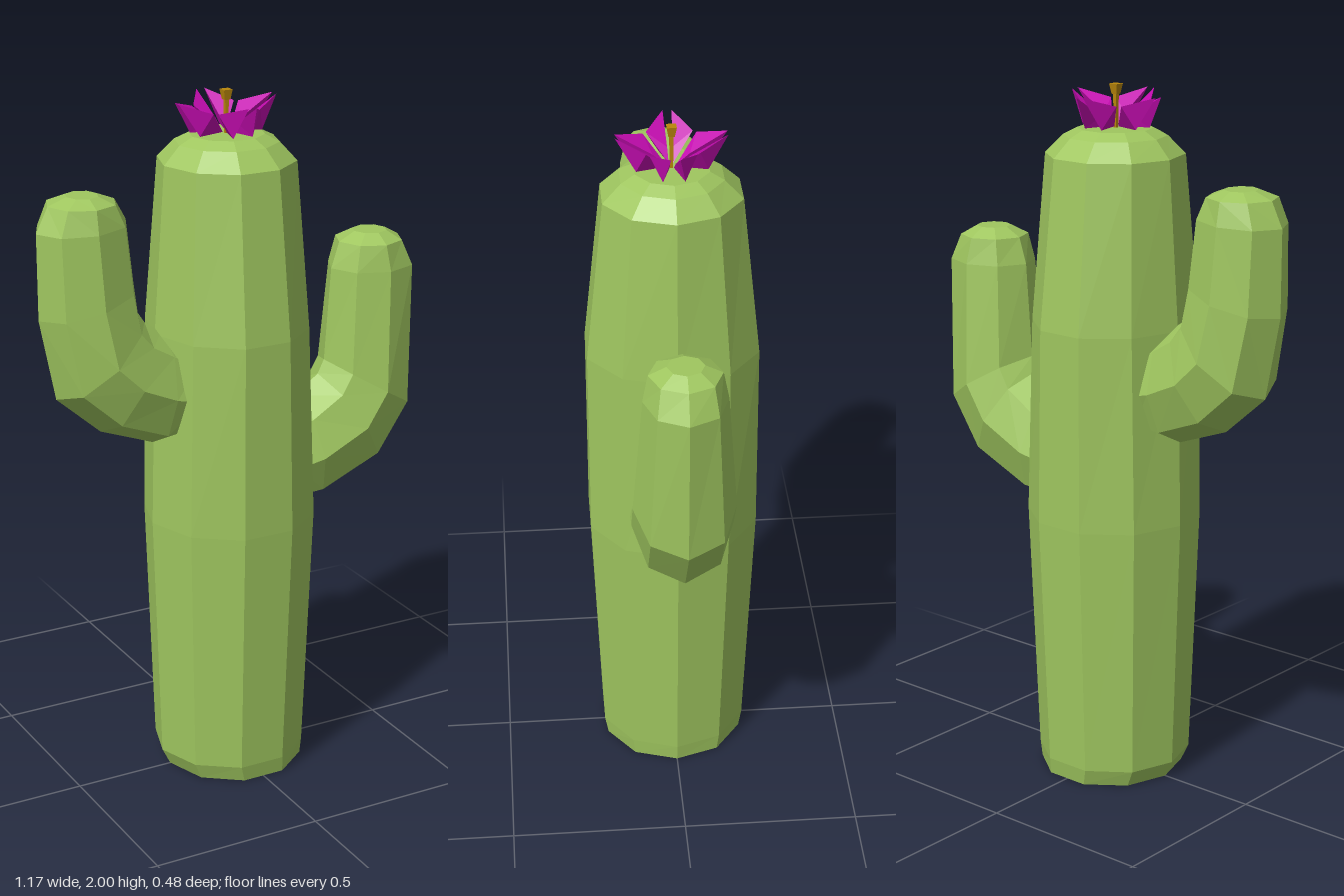
import * as THREE from 'three';

const green = new THREE.MeshStandardMaterial({ color: 0x9fc65f, flatShading: true });
green.name = 'cactusGreen';
const magenta = new THREE.MeshStandardMaterial({ color: 0xc40cb0, flatShading: true, side: THREE.DoubleSide });
magenta.name = 'petalMagenta';
const gold = new THREE.MeshStandardMaterial({ color: 0xb8860b, flatShading: true });
gold.name = 'stamenGold';

// Facets from a list of triangles, each three [x, y, z] points
function facets(tris) {
  const geo = new THREE.BufferGeometry();
  geo.setAttribute('position', new THREE.Float32BufferAttribute(tris.flat(2), 3));
  geo.computeVertexNormals();
  return geo;
}

// Closed skin over a stack of rings, with a flat fan at each end
function skin(rings, flip = false) {
  const tris = [];
  const add = (a, b, c) => tris.push(flip ? [a, c, b] : [a, b, c]);
  const n = rings[0].length;
  const middle = (ring) => [0, 1, 2].map((k) => ring.reduce((s, p) => s + p[k], 0) / n);
  const first = rings[0], last = rings[rings.length - 1];
  const m0 = middle(first), m1 = middle(last);
  for (let i = 0; i < n; i++) {
    const j = (i + 1) % n;
    for (let r = 0; r < rings.length - 1; r++) {
      const lo = rings[r], hi = rings[r + 1];
      add(lo[i], hi[i], lo[j]);
      add(lo[j], hi[i], hi[j]);
    }
    add(first[i], first[j], m0);
    add(last[j], last[i], m1);
  }
  return facets(tris);
}

function mesh(name, geometry, material, parent) {
  const m = new THREE.Mesh(geometry, material);
  m.name = name;
  parent.add(m);
  return m;
}

// Trunk rings: [y, centre x, radius x, radius z], ten sides
function trunkGeometry() {
  const profile = [
    [0, 0, 0.205, 0.21], [0.05, -0.01, 0.22, 0.22], [0.78, -0.008, 0.245, 0.25],
    [1.34, -0.014, 0.225, 0.25], [1.81, -0.013, 0.192, 0.198],
    [1.86, -0.013, 0.145, 0.145], [1.88, -0.013, 0.105, 0.105],
  ];
  return skin(profile.map(([y, cx, rx, rz]) => Array.from({ length: 10 }, (_, i) => {
    const a = i * Math.PI / 5;
    return [cx + rx * Math.cos(a), y, rz * Math.sin(a)];
  })));
}

// Arm rings: [outer x, outer y, inner x, inner y, half depth], eight sides
function armGeometry(profile, side) {
  return skin(profile.map(([ox, oy, ix, iy, w]) => Array.from({ length: 8 }, (_, i) => {
    const a = i * Math.PI / 4, c = Math.cos(a) / 2;
    return [side * ((ox + ix) / 2 + (ox - ix) * c), (oy + iy) / 2 + (oy - iy) * c, w * Math.sin(a)];
  })), side < 0);
}

// Half of a folded petal, lying between its ridge and its outer shoulder
function petalGeometry(angle, side) {
  const at = (r, turn, y) => {
    const a = angle + side * turn;
    return [r * Math.cos(a), y, r * Math.sin(a)];
  };
  const root = at(0.015, 0.4, 1.885), keel = at(0.1, 0.3, 1.885);
  const tip = at(0.15, 0.08, 1.975), ridge = at(0.05, 0.15, 1.915), shoulder = at(0.095, 0.72, 1.95);
  return facets([
    [root, ridge, shoulder], [ridge, tip, shoulder],
    [root, keel, ridge], [keel, tip, ridge],
    [root, shoulder, keel], [keel, shoulder, tip],
  ]);
}

export function createModel() {
  const cactus = new THREE.Group();
  cactus.name = 'cactus';
  mesh('trunk', trunkGeometry(), green, cactus);

  mesh('leftArm', armGeometry([
    [0.16, 0.77, 0.14, 1.05, 0.125], [0.26, 0.775, 0.21, 1.085, 0.135],
    [0.46, 0.86, 0.285, 1.14, 0.14], [0.57, 1.02, 0.305, 1.18, 0.14],
    [0.585, 1.45, 0.325, 1.45, 0.113], [0.545, 1.525, 0.35, 1.525, 0.098],
    [0.5, 1.55, 0.4, 1.55, 0.05],
  ], 1), green, cactus);

  mesh('rightArm', armGeometry([
    [0.16, 1.04, 0.15, 1.29, 0.12], [0.25, 1.025, 0.22, 1.345, 0.13],
    [0.41, 1.085, 0.27, 1.38, 0.14], [0.54, 1.2, 0.29, 1.41, 0.14],
    [0.585, 1.43, 0.302, 1.5, 0.125], [0.585, 1.67, 0.322, 1.68, 0.112],
    [0.55, 1.74, 0.355, 1.74, 0.098], [0.495, 1.76, 0.405, 1.76, 0.05],
  ], -1), green, cactus);

  // Flower on the crown: four petals, each made of two mirrored halves
  const flower = new THREE.Group();
  flower.name = 'flower';
  flower.position.x = -0.015;
  cactus.add(flower);
  for (let i = 0; i < 4; i++) {
    for (const side of [-1, 1]) mesh('petal', petalGeometry(i * Math.PI / 2, side), magenta, flower);
  }
  const stalk = new THREE.CylinderGeometry(0.008, 0.006, 0.1, 4);
  mesh('stamenStalk', stalk.rotateY(Math.PI / 4).translate(0, 1.925, 0), gold, flower);
  const head = new THREE.CylinderGeometry(0.019, 0.012, 0.028, 4);
  mesh('stamenHead', head.rotateY(Math.PI / 4).translate(0, 1.986, 0), gold, flower);
  return cactus;
}
